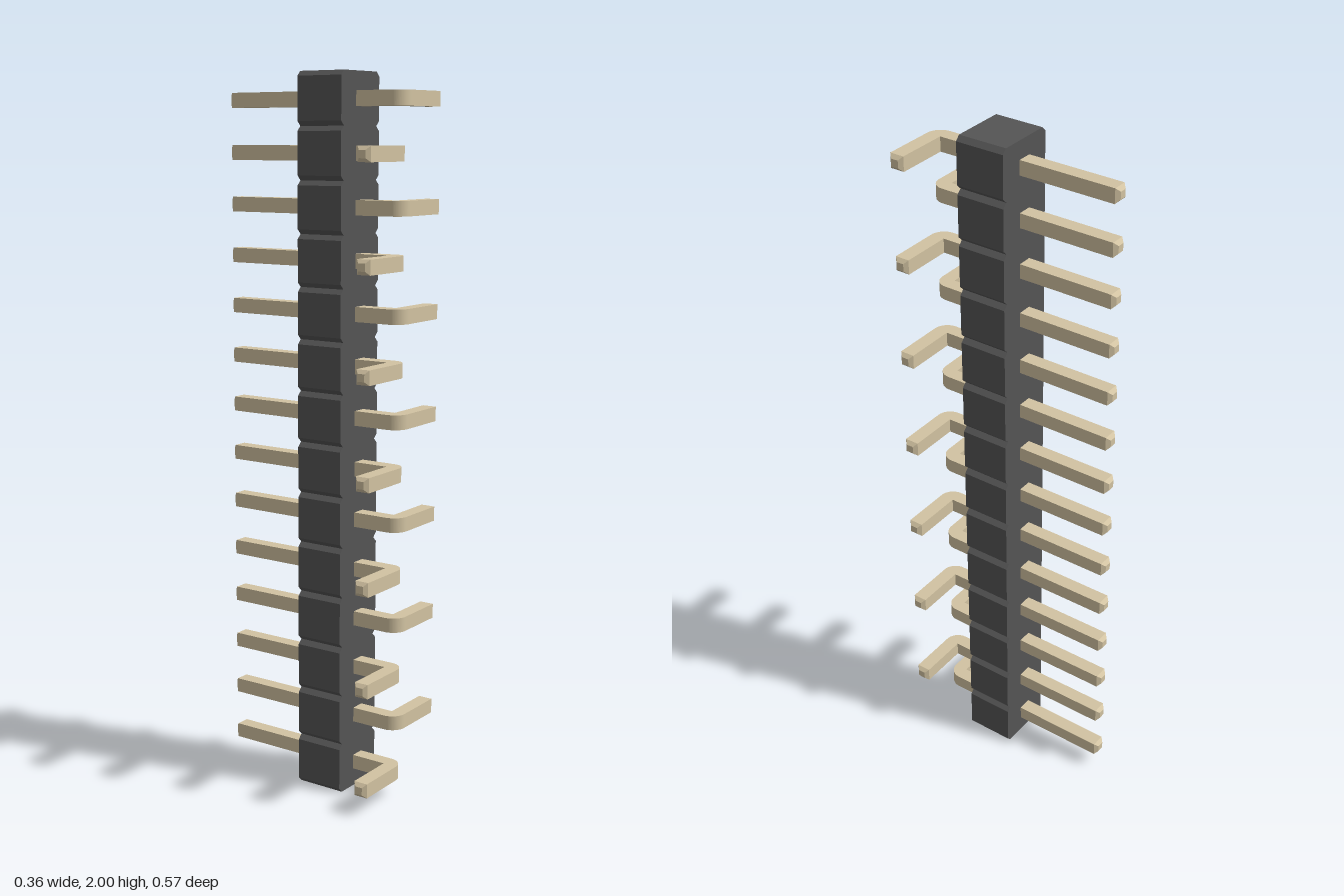
import * as THREE from 'three';
import { mergeGeometries } from 'three/addons/utils/BufferGeometryUtils.js';

const COUNT = 14;
const PITCH = 2 / COUNT;
const HALF_WIDTH = 0.09, DEPTH = 0.141, NOTCH = 0.013; // housing
const R = 0.0205, TIP = 0.01;                          // pin half thickness, tip taper
const BACK = -0.286, FRONT = 0.286, REACH = 0.178;     // pin extents

// Plastic strip: chamfered cells stacked into one notched outline
function housingGeometry() {
  const right = [];
  for (let i = 0; i < COUNT; i++) {
    const y = i * PITCH;
    right.push([HALF_WIDTH - NOTCH, y], [HALF_WIDTH, y + NOTCH], [HALF_WIDTH, y + PITCH - NOTCH]);
  }
  right.push([HALF_WIDTH - NOTCH, 2]);
  const left = right.map(([x, y]) => [-x, y]).reverse();
  const shape = new THREE.Shape([...right, ...left].map(([x, y]) => new THREE.Vector2(x, y)));
  return new THREE.ExtrudeGeometry(shape, { depth: DEPTH, bevelEnabled: false });
}

// Square tapered pin end, pointing up from its base at the origin
function tipGeometry() {
  return new THREE.CylinderGeometry((R - TIP) * Math.SQRT2, R * Math.SQRT2, TIP, 4)
    .rotateY(Math.PI / 4).translate(0, TIP / 2, 0);
}

// Bent pin: straight through the housing, then turned towards +x
function pinGeometry() {
  const inner = FRONT - 2 * R;
  const shape = new THREE.Shape();
  shape.moveTo(-R, BACK + TIP);
  shape.lineTo(R, BACK + TIP);
  shape.lineTo(R, inner);
  shape.lineTo(REACH - TIP, inner);
  shape.lineTo(REACH - TIP, FRONT);
  shape.lineTo(R, FRONT);
  shape.absarc(R, inner, 2 * R, Math.PI / 2, Math.PI, false);
  const body = new THREE.ExtrudeGeometry(shape, { depth: 2 * R, bevelEnabled: false, curveSegments: 10 })
    .translate(0, 0, -R).rotateX(Math.PI / 2);
  const backTip = tipGeometry().rotateX(-Math.PI / 2).translate(0, 0, BACK + TIP);
  const sideTip = tipGeometry().rotateZ(-Math.PI / 2).translate(REACH - TIP, 0, FRONT - R);
  return mergeGeometries([body, backTip.toNonIndexed(), sideTip.toNonIndexed()]);
}

export function createModel() {
  const model = new THREE.Group();
  model.name = 'pinHeader';
  const plastic = new THREE.MeshStandardMaterial({ color: 0x555555, flatShading: true });
  const metal = new THREE.MeshStandardMaterial({ color: 0xd2c3a2, flatShading: true });

  const housing = new THREE.Mesh(housingGeometry(), plastic);
  housing.name = 'housing';
  model.add(housing);

  // Pins turn alternately to the right and to the left
  const geometry = pinGeometry();
  for (let i = 0; i < COUNT; i++) {
    const toRight = i % 2 === 0;
    const pin = new THREE.Mesh(geometry, metal);
    pin.name = `${toRight ? 'right' : 'left'}Pin${Math.floor(i / 2) + 1}`;
    pin.position.y = (i + 0.5) * PITCH;
    if (toRight) pin.rotation.z = Math.PI;
    model.add(pin);
  }
  return model;
}
